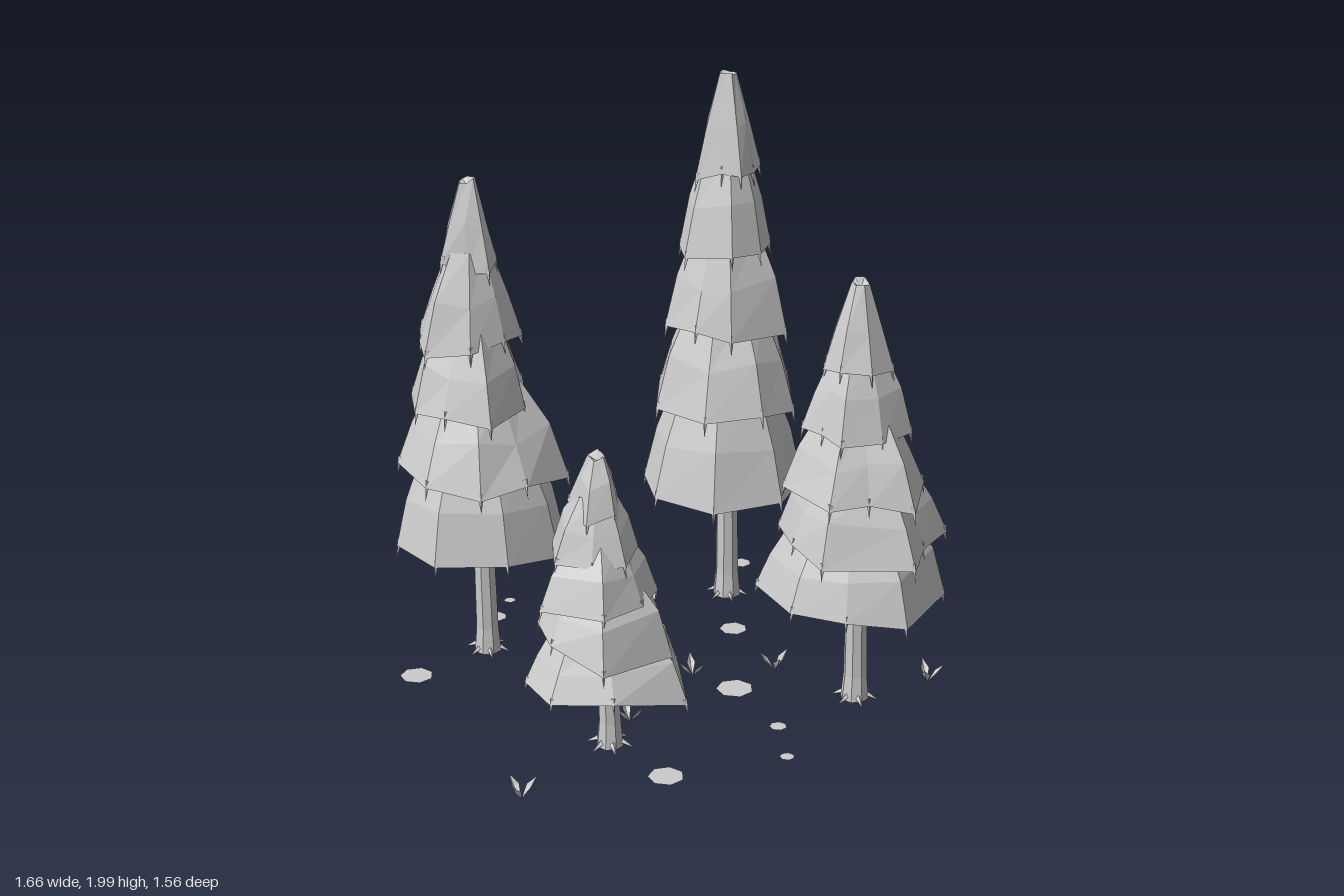
import * as THREE from 'three';

const stone = new THREE.MeshStandardMaterial({ color: 0xcccccc, side: THREE.DoubleSide, flatShading: true });
stone.name = 'plain grey';

let seed = 7;
const rand = () => (seed = (seed * 16807) % 2147483647) / 2147483647;
const jitter = (a) => (rand() * 2 - 1) * a;

function add(group, name, geometry) {
  const mesh = new THREE.Mesh(geometry, stone);
  mesh.name = name;
  group.add(mesh);
  return mesh;
}

// Faceted skin over rings listed from top to bottom
function loft(rows) {
  const points = [];
  for (let i = 0; i < rows.length - 1; i++) {
    const a = rows[i], b = rows[i + 1], n = a.length;
    for (let j = 0; j < n; j++) {
      const k = (j + 1) % n;
      points.push(a[j], a[k], b[k], a[j], b[k], b[j]);
    }
  }
  const g = new THREE.BufferGeometry().setFromPoints(points);
  g.computeVertexNormals();
  return g;
}

const ring = (n, r, x, y, z) => Array.from({ length: n }, (_, j) => {
  const a = (j / n) * Math.PI * 2;
  return new THREE.Vector3(x + r * Math.cos(a), y, z + r * Math.sin(a));
});

// Each tree: trunk foot, tip, rim heights, rim scales, and the lowest rim as x, z corners
const trees = [
  { foot: [-0.455, -0.425], tip: [-0.48, 1.75, -0.43], rims: [0.44, 0.73, 0.98, 1.19, 1.44], scales: [1, 0.97, 0.74, 0.6, 0.36],
    outline: [[-.36, -.69], [-.15, -.545], [-.19, -.335], [-.28, -.19], [-.49, -.15], [-.71, -.27], [-.75, -.51], [-.58, -.66]] },
  { foot: [0.51, -0.43], tip: [0.49, 2, -0.425], rims: [0.46, 0.8, 1.09, 1.37, 1.64], scales: [1, 0.9, 0.71, 0.55, 0.4],
    outline: [[.605, -.72], [.8, -.465], [.74, -.29], [.57, -.14], [.32, -.19], [.2, -.41], [.25, -.59], [.39, -.69]] },
  { foot: [0.51, 0.475], tip: [0.485, 1.52, 0.475], rims: [0.405, 0.61, 0.815, 1.02, 1.22], scales: [1, 0.93, 0.8, 0.58, 0.4],
    outline: [[.485, .18], [.73, .24], [.755, .42], [.79, .58], [.52, .77], [.34, .68], [.21, .54], [.23, .27]] },
  { foot: [-0.375, 0.385], tip: [-0.41, 1.06, 0.385], rims: [0.255, 0.425, 0.585, 0.725, 0.87], scales: [1, 0.86, 0.7, 0.52, 0.33],
    outline: [[-.47, .11], [-.26, .17], [-.1, .34], [-.22, .64], [-.47, .61], [-.63, .47], [-.64, .3]] },
];

// Thin twig hanging from a point, its upper end tucked into the foliage
function twig(group, p, angle, size) {
  const g = new THREE.ConeGeometry(0.011 * size, 0.075 * size, 4);
  g.rotateZ(Math.PI + 0.22).translate(-0.006, -0.012 * size, 0).rotateY(-angle);
  g.translate(p.x, p.y, p.z);
  add(group, 'hangingTwig', g);
}

function makeTree({ foot, tip, rims, scales, outline }) {
  const tree = new THREE.Group();
  tree.name = 'pineTree';
  const [tx, height, tz] = tip;
  const size = 0.55 + height * 0.22;

  // Trunk with a flared foot
  const [fx, fz] = foot, top = rims[0] + 0.12, w = 0.033 + height * 0.005;
  add(tree, 'trunk', loft([
    ring(8, w * 0.85, fx + (tx - fx) * 0.3, top, fz + (tz - fz) * 0.3),
    ring(8, w, fx, 0.1, fz), ring(8, w * 1.2, fx, 0.01, fz), ring(8, 0.005, fx, 0.01, fz),
  ]));

  // Roots
  for (let i = 0; i < 6; i++) {
    const g = new THREE.ConeGeometry(0.014, 0.06, 4);
    g.rotateZ(-Math.PI / 2 - 0.4).translate(0.055, 0.02, 0).rotateY(i * 1.047 + 0.3).translate(fx, 0, fz);
    add(tree, 'root', g);
  }

  // Overlapping skirts of foliage, drooping at the far corners; the crown is pleated
  const base = outline.map(([x, z]) => [x - tx, z - tz]);
  const mean = base.reduce((sum, [x, z]) => sum + Math.hypot(x, z), 0) / base.length;
  rims.forEach((rimY, t) => {
    const crown = t === rims.length - 1;
    const turn = t * 1.05, c = Math.cos(turn), s = Math.sin(turn), scale = scales[t];
    const rim = base.map(([x, z], j) => {
      const pleat = crown ? (j % 2 ? 0.88 : 1.08) : 1;
      const k = scale * pleat * (t ? 1 + jitter(0.05) : 1);
      const y = rimY + jitter(crown ? 0.03 : 0.015) - (Math.hypot(x, z) / mean - 1) * 0.1;
      return new THREE.Vector3(tx + (x * c - z * s) * k, y, tz + (x * s + z * c) * k);
    });
    const inner = (f, y, wobble = 0) => rim.map((p) => new THREE.Vector3(
      tx + (p.x - tx) * f, y + jitter(wobble), tz + (p.z - tz) * f));
    const topY = crown ? height : rims[t + 1] + 0.08 * size;
    const topF = crown ? 0.03 / (mean * scale) : (scales[t + 1] / scale) * 0.65;
    const midF = (1 + topF) / 2 + 0.05;
    add(tree, 'foliageSkirt', loft([
      inner(0.02, topY - 0.03), inner(topF, topY - 0.01, crown ? 0.01 : 0),
      inner(midF, rimY + (topY - rimY) * 0.48, 0.02), rim,
      inner(0.45, rimY + 0.05 * size), inner(0.02, rimY + 0.06 * size),
    ]));

    // Twigs at the corners
    rim.forEach((p) => twig(tree, p, Math.atan2(p.z - tz, p.x - tx), size));
  });
  return tree;
}

// Three diamond blades leaning out from one spot
function makeTuft(x, z, turn) {
  const tuft = new THREE.Group();
  tuft.name = 'grassTuft';
  for (let i = 0; i < 3; i++) {
    const g = new THREE.BufferGeometry().setFromPoints([
      [0, 0, 0], [0.026, 0.04, 0.015], [0.034, 0.032, 0], [0, 0, 0], [0.034, 0.032, 0], [0.026, 0.04, -0.015],
      [0.056, 0.068, 0], [0.034, 0.032, 0], [0.026, 0.04, 0.015], [0.056, 0.068, 0], [0.026, 0.04, -0.015], [0.034, 0.032, 0],
    ].map((p) => new THREE.Vector3(...p)));
    g.computeVertexNormals();
    add(tuft, 'blade', g).rotation.y = turn + i * 1.9;
  }
  tuft.position.set(x, 0.01, z);
  return tuft;
}

export function createModel() {
  seed = 7;
  const model = new THREE.Group();
  model.name = 'pineGrove';
  trees.forEach((t) => model.add(makeTree(t)));

  // Flat ground patches: x, z, radius
  [[-.75, -.37, .058], [-.22, -.76, .022], [.08, -.31, .085], [.185, .22, .065], [.185, .52, .03], [.11, .71, .025],
    [-.3, .64, .06], [.4, -.18, .05], [.69, -.65, .04], [-.32, -.66, .04], [.23, -.56, .05]].forEach(([x, z, r]) => {
    const g = new THREE.CircleGeometry(r, r > 0.07 ? 8 : 7).rotateX(-Math.PI / 2);
    add(model, 'groundPatch', g).position.set(x, 0, z);
  });

  [[-.78, .57], [.09, .09], [.365, .18], [.79, .5], [.21, -.61], [.71, -.2], [-.25, .28]]
    .forEach(([x, z], i) => model.add(makeTuft(x, z, i * 1.3)));
  return model;
}
